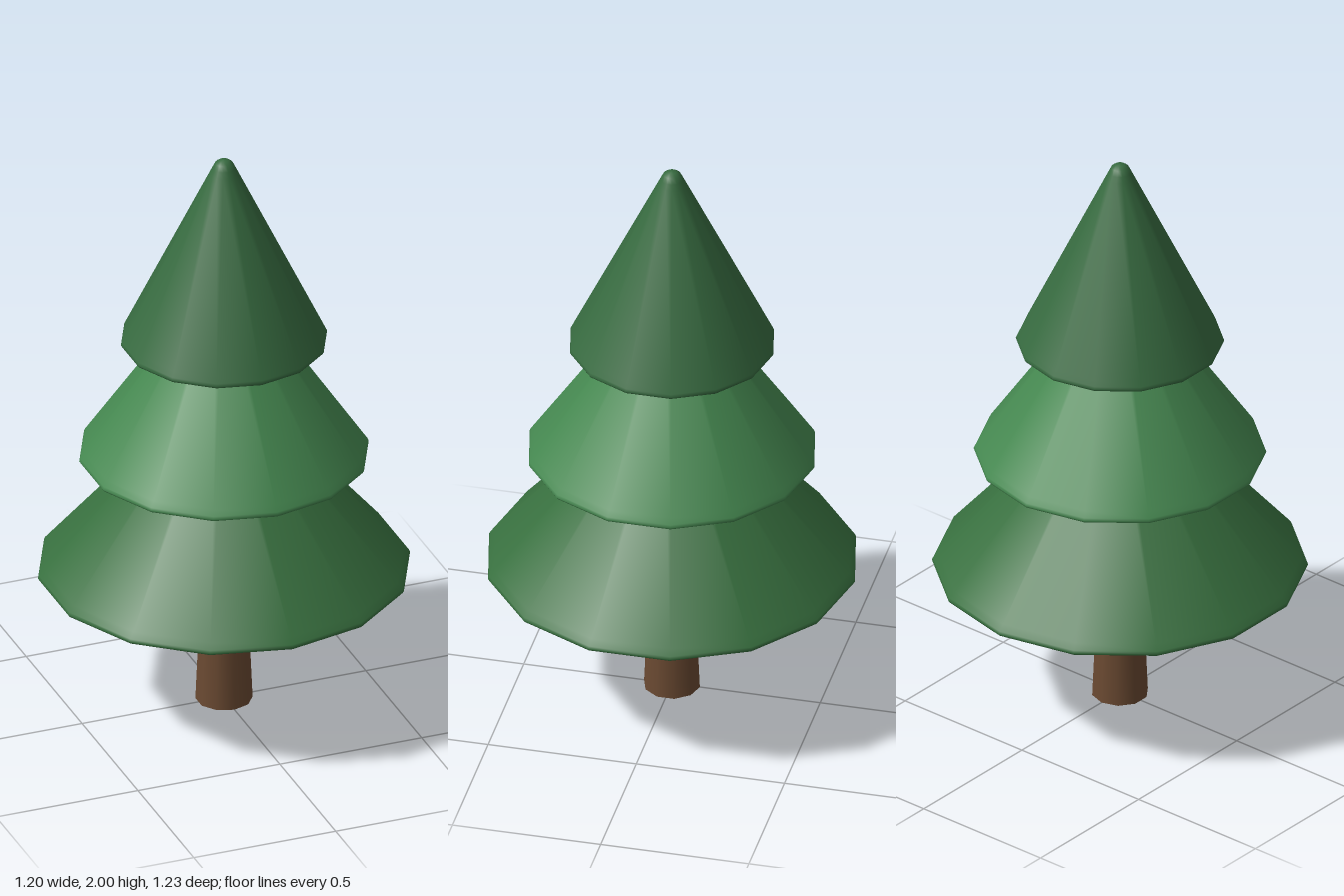
import * as THREE from 'three';

// One bough tier: flat underside, softly rounded rim, straight slope, rounded tip.
function makeTier(name, radius, base, tip, color) {
  const rimY = base + 0.02;
  const tipR = 0.038;
  const shoulder = tip - 0.03;
  const slope = (t) => [
    THREE.MathUtils.lerp(radius - 0.004, tipR, t),
    THREE.MathUtils.lerp(rimY, shoulder, t),
  ];
  const profile = [
    [0, base], [radius - 0.014, base], [radius - 0.004, base + 0.004], [radius, base + 0.011],
    slope(0), slope(0.03), slope(0.97), slope(1),
    [0.029, tip - 0.012], [0.015, tip - 0.002], [0, tip],
  ].map(([r, y]) => new THREE.Vector2(r, y));
  const mesh = new THREE.Mesh(
    new THREE.LatheGeometry(profile, 14),
    new THREE.MeshStandardMaterial({ color })
  );
  mesh.name = name;
  return mesh;
}

export function createModel() {
  const tree = new THREE.Group();
  tree.name = 'pineTree';

  // Tapered trunk, reaching up into the lowest tier
  const trunk = new THREE.Mesh(
    new THREE.CylinderGeometry(0.07, 0.094, 0.55, 10),
    new THREE.MeshStandardMaterial({ color: 0x6b4a32 })
  );
  trunk.name = 'trunk';
  trunk.position.y = 0.275;
  tree.add(trunk);

  // Three stacked tiers: name, radius, base height, tip height, colour
  const tiers = [
    ['lowerTier', 0.617, 0.48, 1.2, 0x38703f],
    ['middleTier', 0.48, 0.905, 1.6, 0x458850],
    ['upperTier', 0.342, 1.325, 2.0, 0x376b40],
  ];
  for (const tier of tiers) tree.add(makeTier(...tier));

  return tree;
}
